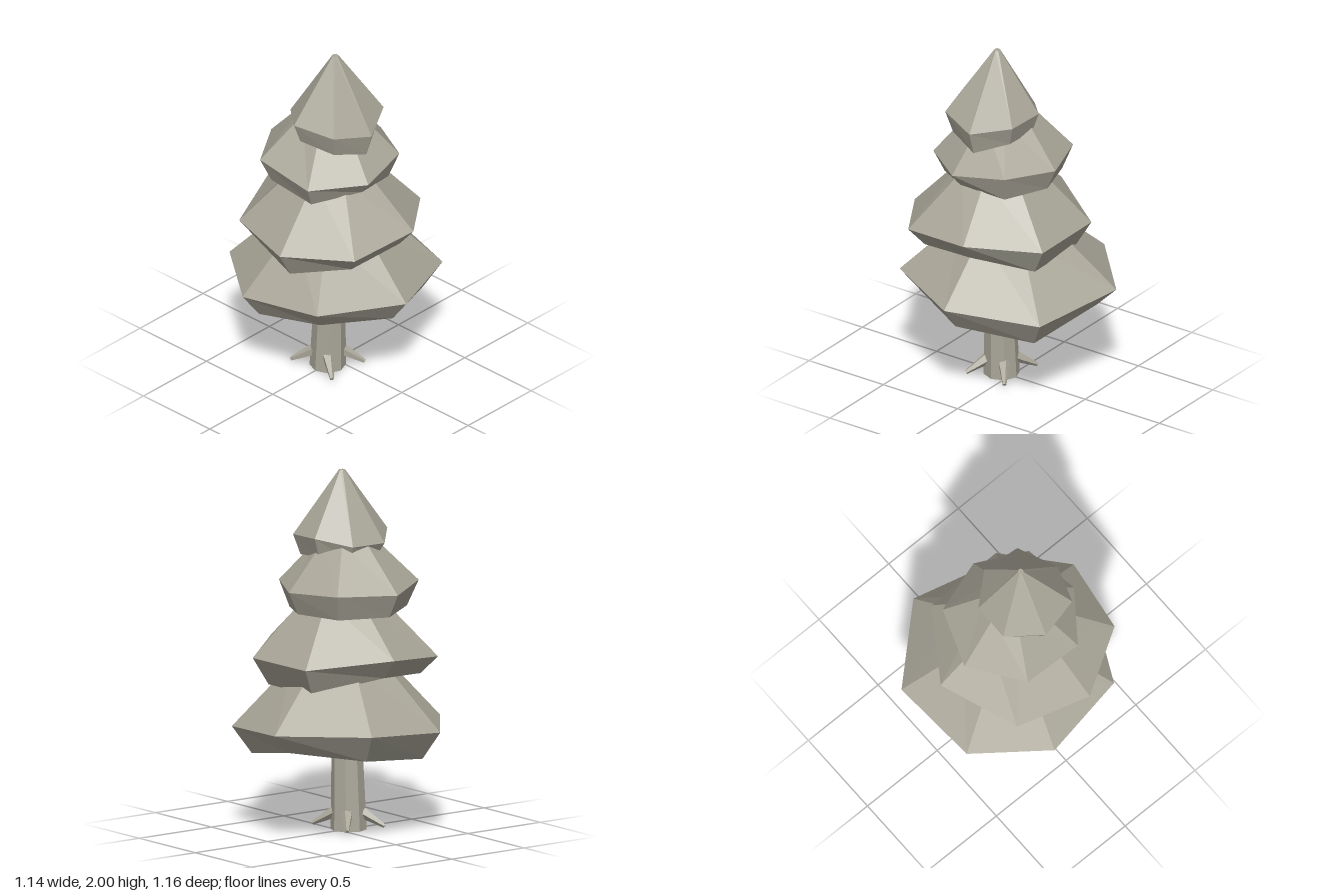
import * as THREE from 'three';

const stone = new THREE.MeshStandardMaterial({ color: 0xaaa799, flatShading: true });
stone.name = 'warmGrey';

// Each tier: rim corners [x, z, rim height, underside height], running back, right, front, left.
// centre = [x, z]; under and top = [scale about the centre]; topY = height of the upper ring.
const TIERS = [
  { name: 'bottomTier', centre: [0, 0.02], under: 0.82, top: 0.43, topY: 0.95, rim: [
    [-0.175, -0.585, 0.625, 0.515], [0.37, -0.46, 0.58, 0.43], [0.57, 0.04, 0.615, 0.48], [0.34, 0.505, 0.645, 0.525],
    [-0.15, 0.58, 0.597, 0.455], [-0.53, 0.285, 0.595, 0.44], [-0.57, -0.22, 0.635, 0.48]] },
  { name: 'lowerMiddleTier', centre: [0.05, 0.04], under: 0.82, top: 0.4, topY: 1.3, rim: [
    [-0.205, -0.395, 0.97, 0.82], [0.26, -0.4, 0.97, 0.82], [0.53, -0.06, 1.02, 0.915], [0.475, 0.35, 0.985, 0.88],
    [0.115, 0.565, 0.96, 0.805], [-0.305, 0.445, 0.965, 0.87], [-0.48, 0.005, 1.02, 0.91]] },
  { name: 'upperMiddleTier', centre: [0, 0.04], under: 0.84, top: 0.4, topY: 1.62, rim: [
    [0.035, -0.325, 1.36, 1.235], [0.31, -0.18, 1.375, 1.225], [0.37, 0.13, 1.335, 1.26], [0.17, 0.4, 1.33, 1.21],
    [-0.19, 0.4, 1.38, 1.24], [-0.39, 0.1, 1.36, 1.23], [-0.27, -0.225, 1.37, 1.23]] },
  { name: 'topTier', centre: [0.05, 0.055], under: 0.85, top: 0.065, topY: 2, rim: [
    [-0.01, -0.18, 1.65, 1.54], [0.21, -0.16, 1.64, 1.53], [0.32, 0.05, 1.59, 1.46], [0.24, 0.27, 1.635, 1.51],
    [0, 0.33, 1.65, 1.535], [-0.175, 0.175, 1.61, 1.55], [-0.17, -0.04, 1.61, 1.53]] },
];

// Faceted tier: underside, short flare, long slope and cap
function tierGeometry({ centre: [cx, cz], under, top, topY, rim }) {
  const ring = (s, height) => rim.map((p) => [cx + (p[0] - cx) * s, height(p), cz + (p[1] - cz) * s]);
  const n = rim.length;
  const lowY = rim.reduce((sum, p) => sum + p[3], 0) / n;
  const rings = [
    rim.map(() => [cx, lowY, cz]),
    ring(under, (p) => p[3]),
    ring(1, (p) => p[2]),
    ring(top, () => topY),
    rim.map(() => [cx, topY, cz]),
  ];
  const pos = [];
  for (let r = 0; r < rings.length - 1; r++) {
    for (let i = 0; i < n; i++) {
      const j = (i + 1) % n;
      const a = rings[r][i], b = rings[r][j], c = rings[r + 1][j], d = rings[r + 1][i];
      if (r > 0) pos.push(...a, ...c, ...b);
      if (r < rings.length - 2) pos.push(...a, ...d, ...c);
    }
  }
  const g = new THREE.BufferGeometry();
  g.setAttribute('position', new THREE.Float32BufferAttribute(pos, 3));
  g.computeVertexNormals();
  return g;
}

// Tapered rod between two points
function rod(name, from, to, r0, r1, sides) {
  const a = new THREE.Vector3(...from), b = new THREE.Vector3(...to);
  const dir = b.clone().sub(a);
  const m = new THREE.Mesh(new THREE.CylinderGeometry(r1, r0, dir.length(), sides), stone);
  m.name = name;
  m.position.copy(a).add(b).multiplyScalar(0.5);
  m.quaternion.setFromUnitVectors(new THREE.Vector3(0, 1, 0), dir.normalize());
  return m;
}

export function createModel() {
  const tree = new THREE.Group();
  tree.name = 'tree';

  for (const t of TIERS) {
    const m = new THREE.Mesh(tierGeometry(t), stone);
    m.name = t.name;
    tree.add(m);
  }

  // Slightly leaning trunk
  const trunk = new THREE.CylinderGeometry(0.082, 0.1, 0.56, 8);
  const p = trunk.attributes.position;
  for (let i = 0; i < p.count; i++) if (p.getY(i) > 0) p.setX(i, p.getX(i) + 0.017);
  trunk.translate(0, 0.28, 0.062);
  const trunkMesh = new THREE.Mesh(trunk, stone);
  trunkMesh.name = 'trunk';
  tree.add(trunkMesh);

  // Four roots on the diagonals
  for (const sx of [-1, 1]) for (const sz of [-1, 1]) {
    tree.add(rod('root', [sx * 0.055, 0.095, 0.062 + sz * 0.055],
      [sx * 0.155, 0.025, 0.062 + sz * 0.13], 0.034, 0.011, 5));
  }
  return tree;
}
